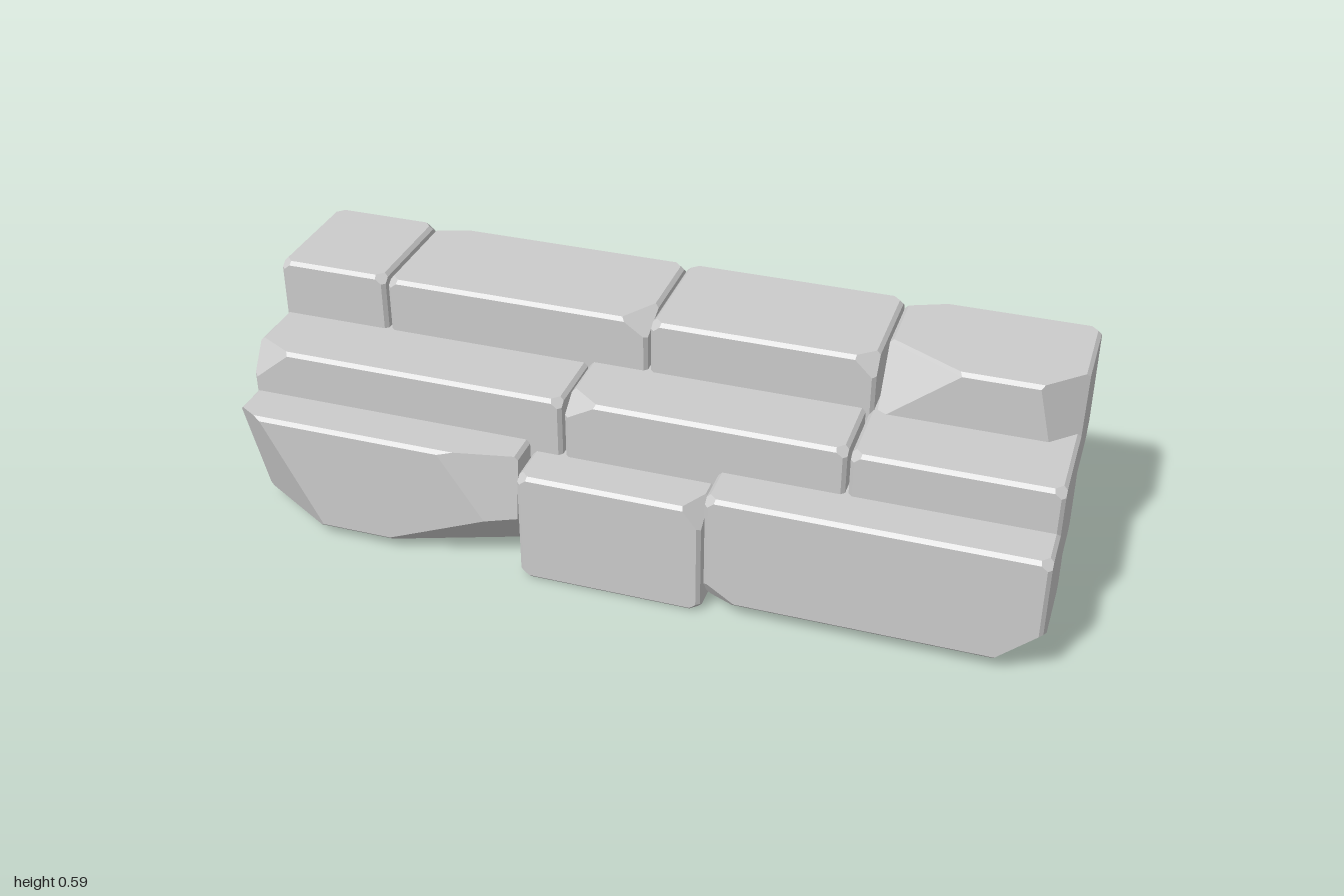
import * as THREE from 'three';

const SIGNS = [-1, 1];
const GAP = 0.008;

// Flat-faced convex solid enclosed by planes { n, d } with n.p <= d.
function solidFromPlanes(planes) {
  const eps = 1e-6, points = [], position = [];
  for (let i = 0; i < planes.length; i++)
    for (let j = i + 1; j < planes.length; j++)
      for (let k = j + 1; k < planes.length; k++) {
        const [a, b, c] = [planes[i], planes[j], planes[k]];
        const bc = b.n.clone().cross(c.n), det = a.n.dot(bc);
        if (Math.abs(det) < 1e-5) continue;
        const p = bc.multiplyScalar(a.d)
          .addScaledVector(c.n.clone().cross(a.n), b.d)
          .addScaledVector(a.n.clone().cross(b.n), c.d)
          .divideScalar(det);
        if (planes.some(q => q.n.dot(p) > q.d + eps)) continue;
        if (!points.some(q => q.distanceTo(p) < 1e-4)) points.push(p);
      }
  // One polygon per plane, sorted around its centre and fanned
  for (const { n, d } of planes) {
    const ring = points.filter(p => Math.abs(n.dot(p) - d) < 1e-4);
    if (ring.length < 3) continue;
    const mid = new THREE.Vector3();
    ring.forEach(p => mid.addScaledVector(p, 1 / ring.length));
    const u = ring[0].clone().sub(mid).normalize(), v = n.clone().cross(u);
    const angle = p => Math.atan2(p.clone().sub(mid).dot(v), p.clone().sub(mid).dot(u));
    ring.sort((p, q) => angle(p) - angle(q));
    for (let i = 1; i < ring.length - 1; i++)
      for (const p of [ring[0], ring[i], ring[i + 1]]) position.push(p.x, p.y, p.z);
  }
  const geometry = new THREE.BufferGeometry();
  geometry.setAttribute('position', new THREE.Float32BufferAttribute(position, 3));
  geometry.computeVertexNormals();
  return geometry;
}

// A cut names a corner by its signs and gives the lengths removed along its edges.
const cut = (sx, sy, sz, dx, dy, dz) => ({ sx, sy, sz, dx, dy, dz });

// Block with fine edge bevels, small chipped corners and the given larger cuts.
function stoneGeometry(size, cuts) {
  const half = size.map(s => s / 2), planes = [];
  const add = (normal, d) => {
    const n = new THREE.Vector3(...normal), length = n.length();
    planes.push({ n: n.divideScalar(length), d: d / length });
  };
  for (let a = 0; a < 3; a++)
    for (const s of SIGNS) {
      const face = [0, 0, 0];
      face[a] = s;
      add(face, half[a]);
      const b = (a + 1) % 3;
      for (const t of SIGNS) {
        const edge = [...face];
        edge[b] = t;
        add(edge, half[a] + half[b] - 0.009);
      }
    }
  const cutCorner = ({ sx, sy, sz, dx, dy, dz }) =>
    add([sx / dx, sy / dy, sz / dz], half[0] / dx + half[1] / dy + half[2] / dz - 1);
  cuts.forEach(cutCorner);
  for (const x of SIGNS) for (const y of SIGNS) for (const z of SIGNS)
    if (!cuts.some(c => c.sx === x && c.sy === y && c.sz === z))
      cutCorner(cut(x, y, z, 0.035, 0.028, 0.035));
  return solidFromPlanes(planes);
}

// One course of stones from x = -1 to 1, divided at the joints.
function makeStep(name, { back, front, height, bases, joints, cuts }, material) {
  const step = new THREE.Group();
  step.name = name;
  const ends = [-1 - GAP / 2, ...joints, 1 + GAP / 2];
  bases.forEach((base, i) => {
    const width = ends[i + 1] - ends[i] - GAP;
    const stone = new THREE.Mesh(stoneGeometry([width, height, front - back], cuts[i]), material);
    stone.name = `${name}Stone${i + 1}`;
    stone.position.set((ends[i] + ends[i + 1]) / 2, base + height / 2, (back + front) / 2);
    step.add(stone);
  });
  return step;
}

export function createModel() {
  const model = new THREE.Group();
  model.name = 'stoneStairs';
  const material = new THREE.MeshStandardMaterial({ color: 0xcccccc, flatShading: true });

  // Bottom: heavily worn left stone, low middle stone, right stone with a cut foot
  model.add(makeStep('bottomStep', {
    back: 0, front: 0.313, height: 0.295, bases: [0.028, 0, 0.037], joints: [-0.26, 0.204],
    cuts: [
      [cut(-1, -1, 1, 0.22, 0.42, 0.13), cut(1, -1, 1, 0.36, 0.15, 0.13),
        cut(1, 1, 1, 0.2, 0.3, 0.04)],
      [cut(1, 1, 1, 0.05, 0.065, 0.09)],
      [cut(1, -1, 1, 0.11, 0.1, 0.14), cut(-1, -1, 1, 0.09, 0.06, 0.04)],
    ],
  }, material));

  // Middle: three mostly square stones
  model.add(makeStep('middleStep', {
    back: -0.115, front: 0.196, height: 0.308, bases: [0.138, 0.144, 0.138], joints: [-0.179, 0.512],
    cuts: [
      [cut(-1, 1, 1, 0.11, 0.09, 0.06)],
      [cut(-1, 1, 1, 0.09, 0.05, 0.07)],
      [],
    ],
  }, material));

  // Top: four stones, the right one worn at its front corners
  model.add(makeStep('topStep', {
    back: -0.313, front: 0.007, height: 0.296, bases: [0.295, 0.291, 0.291, 0.292],
    joints: [-0.712, -0.027, 0.53],
    cuts: [
      [],
      [cut(1, 1, 1, 0.07, 0.05, 0.11), cut(-1, 1, -1, 0.12, 0.09, 0.04)],
      [cut(1, 1, 1, 0.06, 0.06, 0.05)],
      [cut(-1, 1, 1, 0.2, 0.16, 0.11), cut(1, 1, 1, 0.1, 0.43, 0.095),
        cut(1, -1, 1, 0.1, 0.06, 0.13), cut(1, -1, -1, 0.06, 0.04, 0.06),
        cut(-1, 1, -1, 0.12, 0.09, 0.05)],
    ],
  }, material));
  return model;
}
